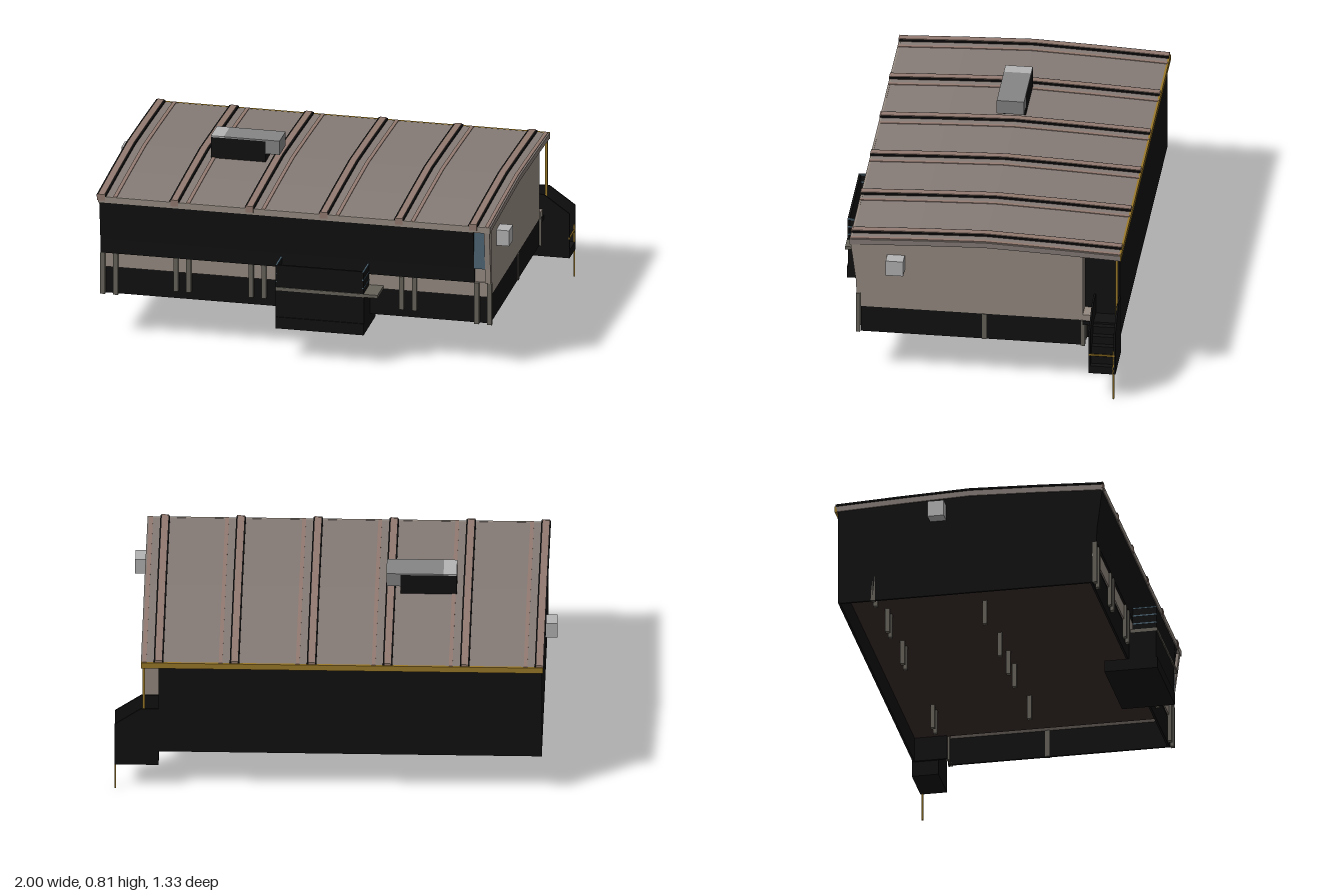
import * as THREE from 'three';

const material = (color) => new THREE.MeshStandardMaterial({ color, flatShading: true, side: THREE.DoubleSide });

export function createModel() {
  const model = new THREE.Group();
  const dark = material(0x111111), beige = material(0x968b82), roofGrey = material(0x857b76);
  const pink = material(0x927a70), post = material(0x66635a), metal = material(0x858585);
  const pale = material(0xb4b4b4), gold = material(0x9c7a28), blue = material(0x4d6675), brown = material(0x3a2e2b);

  const add = (name, geometry, mat) => {
    const mesh = new THREE.Mesh(geometry, mat);
    mesh.name = name;
    model.add(mesh);
    return mesh;
  };
  // Box given by its limits on each axis
  const box = (name, mat, x0, x1, y0, y1, z0, z1) => {
    const mesh = add(name, new THREE.BoxGeometry(x1 - x0, y1 - y0, z1 - z0), mat);
    mesh.position.set((x0 + x1) / 2, (y0 + y1) / 2, (z0 + z1) / 2);
    return mesh;
  };
  // Profile of [z, y] points swept along x
  const sweep = (name, mat, x0, x1, points) => {
    const shape = new THREE.Shape(points.map(([z, y]) => new THREE.Vector2(-z, y)));
    const geometry = new THREE.ExtrudeGeometry(shape, { depth: x1 - x0, bevelEnabled: false });
    geometry.rotateY(Math.PI / 2).translate(x0, 0, 0);
    return add(name, geometry, mat);
  };
  // Gable strip between two heights above the roof's top line
  const roofLine = [[0.575, 0.683], [0.27, 0.697], [-0.04, 0.708], [-0.35, 0.697], [-0.66, 0.683]];
  const roofStrip = (name, mat, x0, x1, low, high) => sweep(name, mat, x0, x1, [
    ...roofLine.map(([z, y]) => [z, y + low]),
    ...roofLine.map(([z, y]) => [z, y + high]).reverse(),
  ]);

  // Main hall and the lighter end wall, with a recessed rear entrance corner
  const hall = (name, mat, x0, x1, front, back) => sweep(name, mat, x0, x1, [
    [front, 0.33], [front, 0.66], [-0.04, 0.685], [back, 0.66], [back, 0.33],
  ]);
  hall('hall', dark, -0.94, 0.8, 0.53, -0.65);
  hall('endWall', beige, 0.8, 0.87, 0.53, -0.49);
  box('entranceFloor', beige, 0.8, 0.875, 0.325, 0.36, -0.53, -0.49);
  box('entranceFloor', dark, 0.8, 0.88, 0.31, 0.33, -0.65, -0.49);
  box('frontWallBand', beige, -0.94, 0.87, 0.33, 0.4, 0.525, 0.535);
  box('floorUnderside', brown, -0.93, 0.8, 0.315, 0.329, -0.64, 0.52);

  // Overhanging front glazing
  const lean = [[0.53, 0.4], [0.545, 0.4], [0.548, 0.47], [0.572, 0.657], [0.53, 0.657]];
  sweep('frontGlazing', dark, -0.94, 0.8, lean);
  sweep('cornerStrut', beige, 0.85, 0.875, lean);
  box('cornerGlass', blue, 0.8, 0.85, 0.47, 0.655, 0.535, 0.55);

  // Skirting below the floor
  box('frontSkirt', dark, -0.94, 0.87, 0.2, 0.33, 0.515, 0.525);
  box('rearSkirt', dark, -0.94, 0.8, 0.2, 0.33, -0.65, -0.64);
  box('leftSkirt', dark, 0.86, 0.87, 0.2, 0.33, -0.5, 0.525);
  box('rightSkirt', dark, -0.94, -0.93, 0.2, 0.33, -0.65, 0.53);
  box('entranceSkirt', dark, 0.79, 0.8, 0.2, 0.33, -0.65, -0.49);

  // Foundation posts in pairs at each bay line
  for (const bay of [-0.9, -0.56, -0.21, 0.49, 0.84]) {
    for (const x of [bay - 0.03, bay + 0.03]) {
      box('frontPost', post, x - 0.011, x + 0.011, bay > 0.8 || bay < -0.8 ? 0.2 : 0.24, 0.4, 0.528, 0.547);
      box('rearPost', post, x - 0.01, x + 0.01, 0.2, 0.33, -0.5, -0.48);
    }
  }
  for (const x of [-0.59, -0.24, -0.04, 0.1, 0.45, 0.865]) {
    box('middlePost', post, x - 0.01, x + 0.01, 0.2, 0.33, -0.05, -0.03);
  }

  // Shallow gable roof with ribs and eaves trim
  roofStrip('roof', roofGrey, -0.945, 0.88, -0.026, 0);
  for (const x of [-0.93, -0.59, -0.24, 0.105, 0.455, 0.8]) {
    roofStrip('roofRib', pink, x - 0.015, x + 0.015, 0, 0.011);
    box('ribCap', pink, x - 0.018, x + 0.018, 0.665, 0.695, 0.57, 0.577);
    for (const side of [-1, 1]) roofStrip('ribFlank', dark, x + side * 0.018 - 0.004, x + side * 0.018 + 0.004, 0, 0.008);
    roofStrip('roofSeam', pink, x + 0.055, x + 0.072, 0, 0.003);
  }
  box('frontEaves', beige, -0.945, 0.88, 0.655, 0.684, 0.567, 0.576);
  box('rearEaves', gold, -0.945, 0.88, 0.655, 0.684, -0.665, -0.655);

  // Rooftop ventilation unit
  box('roofUnit', dark, -0.54, -0.285, 0.695, 0.805, -0.084, 0.041);
  box('roofUnitLid', metal, -0.48, -0.285, 0.805, 0.812, -0.084, 0.041);
  box('roofUnitLidEnd', pale, -0.54, -0.48, 0.805, 0.812, -0.084, 0.041);
  box('roofUnitOutlet', metal, -0.285, -0.22, 0.745, 0.812, -0.084, 0.041);

  // Wall-mounted cooling units
  box('leftWallUnit', pale, 0.87, 0.93, 0.535, 0.61, 0.325, 0.405);
  box('rightWallUnit', pale, -1, -0.94, 0.57, 0.645, -0.225, -0.15);

  // Front porch with parapet, platform and side rails
  box('porchBase', dark, -0.1, 0.31, 0.145, 0.2, 0.415, 0.66);
  box('porchBody', dark, -0.1, 0.31, 0.2, 0.33, 0.53, 0.655);
  box('porchPlatform', post, -0.1, 0.375, 0.33, 0.345, 0.53, 0.66);
  box('porchParapet', dark, -0.1, 0.31, 0.345, 0.452, 0.647, 0.657);
  for (const x of [-0.097, 0.307]) {
    box('porchSidePanel', dark, x - 0.002, x + 0.002, 0.345, 0.45, 0.545, 0.65);
    for (const y of [0.372, 0.412, 0.45]) box('porchRail', blue, x - 0.004, x + 0.004, y - 0.003, y + 0.003, 0.545, 0.657);
  }

  // Rear entrance stair: sloping side panels, treads and gold poles
  const side = new THREE.Shape([[0.8, 0.13], [1, 0.13], [1, 0.345], [0.88, 0.43], [0.8, 0.43]].map((p) => new THREE.Vector2(...p)));
  for (const z of [-0.655, -0.54]) {
    add('stairSide', new THREE.ExtrudeGeometry(side, { depth: 0.008, bevelEnabled: false }), dark).position.z = z;
  }
  for (let i = 0; i < 5; i++) {
    box('stairTread', dark, 0.88 + i * 0.024, 0.904 + i * 0.024, 0.13, 0.32 - i * 0.038, -0.65, -0.535);
  }
  box('stairBase', dark, 0.8, 0.88, 0.13, 0.32, -0.65, -0.535);
  box('stairPole', gold, 0.993, 1, 0, 0.25, -0.649, -0.641);
  box('stairRail', gold, 0.995, 1.001, 0.222, 0.23, -0.65, -0.532);
  box('eavesPole', gold, 0.862, 0.872, 0.33, 0.66, -0.65, -0.64);

  return model;
}
